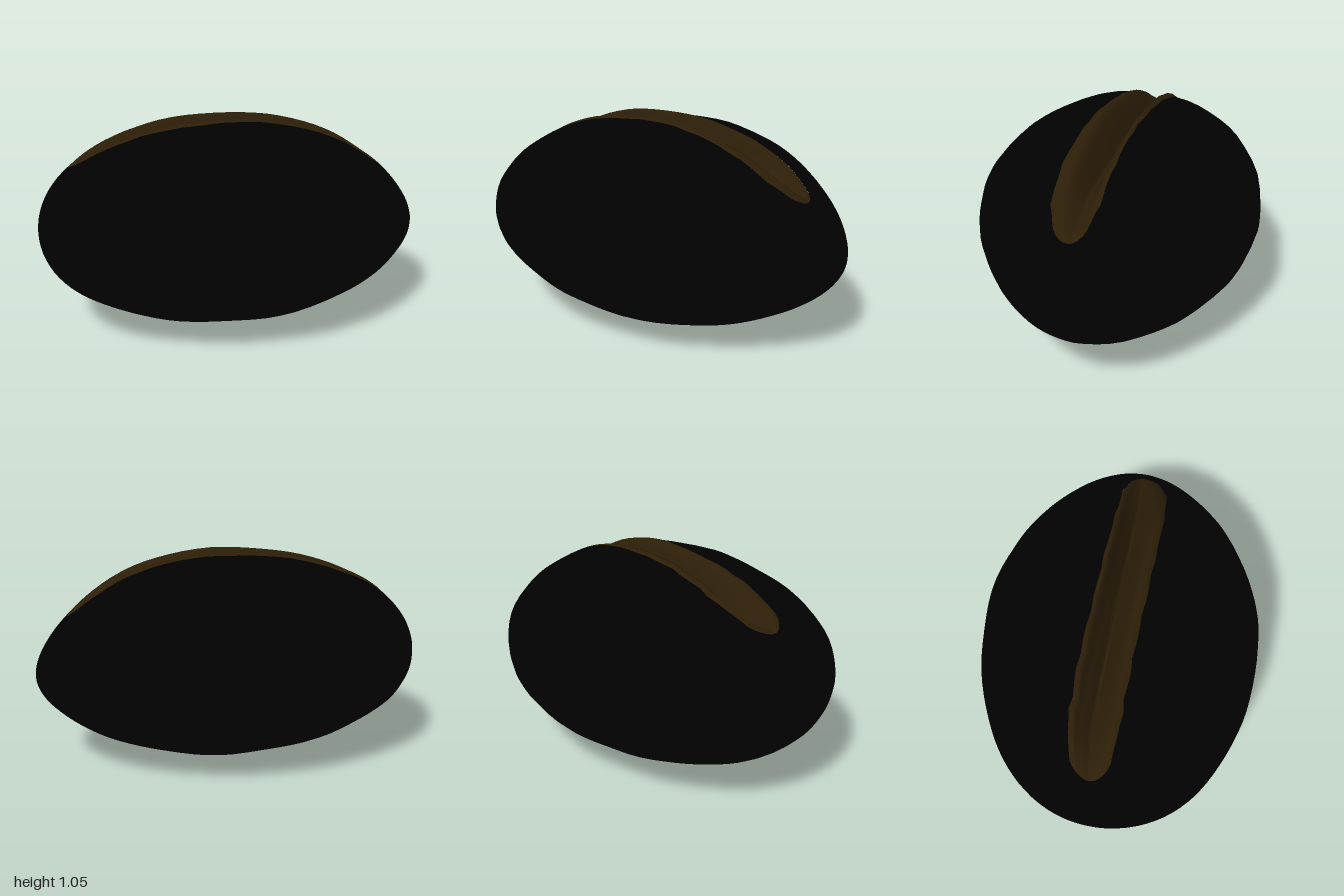
import * as THREE from 'three';

const ROWS = 56, BODY_COLS = 48, CREASE_COLS = 20, END_ROWS = 10;
const CREASE_END = 0.83;

// Overall bean form: an ellipsoid, fuller at the right tip, leaner and lower at the left tip
function section(x) {
  const k = Math.sqrt(Math.max(0, 1 - x * x));
  if (x < 0) {
    const full = 1 + 0.1 * x ** 4;
    return { ry: 0.52 * k * full, rz: 0.725 * k * full, cy: 0.52 + 0.02 * x ** 3 };
  }
  return {
    ry: 0.52 * k * (1 - 0.22 * x ** 4),
    rz: 0.725 * k * (1 - 0.22 * x ** 2),
    cy: 0.52 - 0.07 * x ** 3,
  };
}
const lump = (x, a) => 1 + 0.004 * Math.sin(11 * a - 9 * x + 1) + 0.003 * Math.sin(13 * x + 5 * a);

function surface(x, a) {
  const { ry, rz, cy } = section(x);
  const l = lump(x, a);
  return [x, cy + ry * l * Math.cos(a), rz * l * Math.sin(a)];
}

// Crease runs diagonally, curling back to the middle at its ends; its edges are a little ragged
const creaseCentre = (x) => -0.005 + 0.105 * x - 0.1 * x ** 5;
function creaseHalf(x) {
  const t = Math.abs(x) / CREASE_END;
  if (t >= 1) return 0;
  return (0.122 + 0.004 * Math.sin(31 * x) + 0.003 * Math.sin(57 * x + 1)) * Math.sqrt(1 - t ** 8);
}

// Angle of a crease edge; past the crease both edges merge and run to the tip
function lipAngle(x, side) {
  const { rz } = section(x);
  if (rz === 0) return 0;
  const fade = Math.min(1, (1 - Math.abs(x)) / (1 - CREASE_END));
  const z = creaseCentre(x) * fade + side * creaseHalf(x);
  return Math.asin(THREE.MathUtils.clamp(z / rz, -1, 1));
}

// Grid of points joined into a smooth surface
function gridGeometry(rows, cols, point) {
  const pos = [], index = [];
  for (let i = 0; i <= rows; i++)
    for (let j = 0; j <= cols; j++) pos.push(...point(i, j / cols));
  for (let i = 0; i < rows; i++)
    for (let j = 0; j < cols; j++) {
      const a = i * (cols + 1) + j, b = a + cols + 1;
      index.push(a, a + 1, b, a + 1, b + 1, b);
    }
  const g = new THREE.BufferGeometry();
  g.setAttribute('position', new THREE.Float32BufferAttribute(pos, 3));
  g.setIndex(index);
  g.computeVertexNormals();
  return g;
}

// Row positions shared by shell and crease so their edges meet
function rowX(i) {
  const e = Math.acos(CREASE_END);
  if (i < END_ROWS) return -Math.cos(e * i / END_ROWS);
  if (i > ROWS - END_ROWS) return Math.cos(e * (ROWS - i) / END_ROWS);
  const t = (i - END_ROWS) / (ROWS - 2 * END_ROWS);
  return -CREASE_END * Math.cos(Math.PI * t);
}

export function createModel() {
  const shellMat = new THREE.MeshStandardMaterial({ color: 0x010101 });
  shellMat.name = 'black shell';
  const creaseMat = new THREE.MeshStandardMaterial({ color: 0x2c1e08 });
  creaseMat.name = 'dark brown crease';

  // Shell: from the front lip, under the belly, to the back lip
  const shellGeo = gridGeometry(ROWS, BODY_COLS, (i, v) => {
    const x = rowX(i);
    return surface(x, THREE.MathUtils.lerp(lipAngle(x, 1), lipAngle(x, -1) + Math.PI * 2, v));
  });

  // Crease: raised lips with a V-shaped valley between them
  const creaseGeo = gridGeometry(ROWS - 2 * END_ROWS, CREASE_COLS, (i, v) => {
    const x = rowX(END_ROWS + i);
    const p = surface(x, THREE.MathUtils.lerp(lipAngle(x, -1), lipAngle(x, 1), v));
    const w = v * 2 - 1;
    const taper = 1 - (Math.abs(x) / CREASE_END) ** 3;
    const valley = Math.max(0, 1 - Math.abs(w + 0.15 + 0.15 * x) / 0.76) ** 1.2;
    const lip = Math.max(0, 1 - Math.abs(Math.abs(w) - 0.8) / 0.2) * (w < 0 ? 0.025 : 0.01);
    p[1] += taper * (lip - 0.17 * valley);
    return p;
  });

  const shell = new THREE.Mesh(shellGeo, shellMat);
  shell.name = 'beanShell';
  const crease = new THREE.Mesh(creaseGeo, creaseMat);
  crease.name = 'beanCrease';

  // Rest on the ground, centred
  const group = new THREE.Group();
  group.name = 'bean';
  group.add(shell, crease);
  const box = new THREE.Box3().setFromObject(group);
  const c = box.getCenter(new THREE.Vector3());
  for (const m of group.children) m.geometry.translate(-c.x, -box.min.y, -c.z);
  return group;
}
